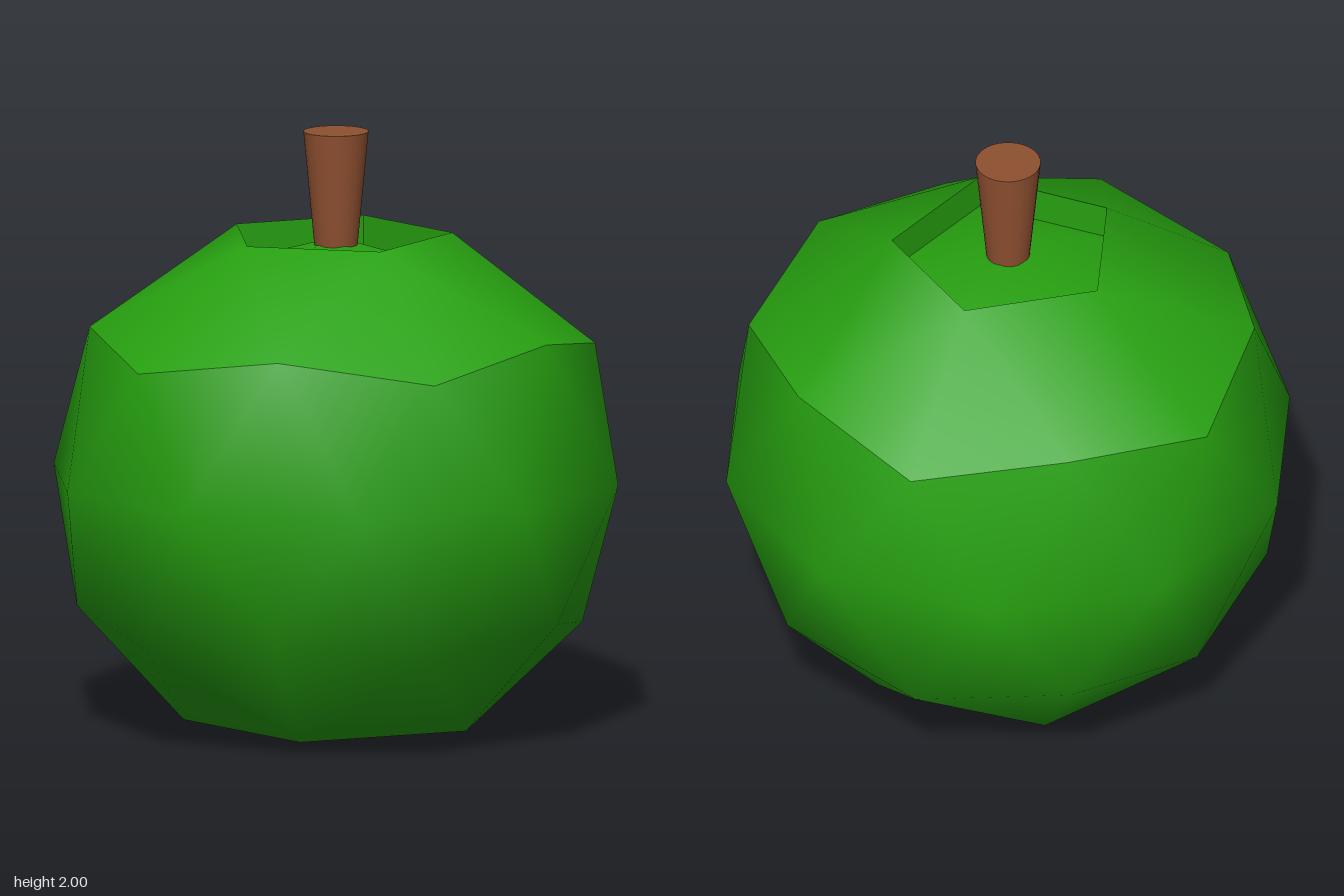
import * as THREE from 'three';

const skin = new THREE.MeshStandardMaterial({ color: 0x27a010 });
skin.name = 'green skin';
const bark = new THREE.MeshStandardMaterial({ color: 0x8f5030 });
bark.name = 'brown bark';

// Ring of points; radius and height alternate between the two given values
function ring(count, startDeg, [r0, y0], [r1, y1] = [r0, y0]) {
  return Array.from({ length: count }, (_, i) => {
    const a = THREE.MathUtils.degToRad(startDeg + (i * 360) / count);
    const r = i % 2 ? r1 : r0;
    return new THREE.Vector3(r * Math.cos(a), i % 2 ? y1 : y0, r * Math.sin(a));
  });
}

// Mesh from point triples; shared points give smooth normals
function surface(name, triangles, flat = false) {
  const points = [...new Set(triangles.flat())];
  let geometry = new THREE.BufferGeometry().setFromPoints(points);
  geometry.setIndex(triangles.flat().map((p) => points.indexOf(p)));
  if (flat) geometry = geometry.toNonIndexed();
  geometry.computeVertexNormals();
  const mesh = new THREE.Mesh(geometry, skin);
  mesh.name = name;
  return mesh;
}

export function createModel() {
  const model = new THREE.Group();
  model.name = 'apple';

  // Rings of a once-divided icosahedron, top to bottom
  const topRim = ring(5, 0, [0.385, 1.655]);
  const shoulder = ring(10, 0, [0.859, 1.279], [0.817, 1.355]);
  const middle = ring(10, 18, [0.96, 0.85]);
  const lower = ring(10, 0, [0.817, 0.345], [0.859, 0.421]);
  const baseRim = ring(5, 36, [0.505, 0.033]);
  // Sunken floors of the two hollows
  const topFloor = ring(5, 0, [0.385, 1.535]);
  const topPeak = new THREE.Vector3(0, 1.645, 0);
  const baseFloor = ring(5, 36, [0.505, 0.145]);
  const baseTip = new THREE.Vector3(0, 0, 0);

  const crown = [], body = [], topWall = [], topCap = [], baseWall = [], baseCap = [];

  for (let k = 0; k < 10; k++) {
    const n = (k + 1) % 10;
    body.push(
      [shoulder[k], shoulder[n], middle[k]],
      [middle[k], shoulder[n], middle[n]],
      [middle[k], middle[n], lower[n]],
      [lower[k], middle[k], lower[n]],
    );
  }

  for (let i = 0; i < 5; i++) {
    const n = (i + 1) % 5;
    const k = 2 * i, k1 = k + 1, k2 = (k + 2) % 10, prev = (k + 9) % 10;
    crown.push(
      [topRim[i], shoulder[k1], shoulder[k]],
      [topRim[i], shoulder[k], shoulder[prev]],
      [topRim[i], topRim[n], shoulder[k1]],
    );
    body.push(
      [lower[k], lower[k1], baseRim[i]],
      [lower[k1], lower[k2], baseRim[i]],
      [baseRim[i], lower[k2], baseRim[n]],
    );
    // Hollow walls face the axis
    topWall.push([topRim[i], topFloor[n], topRim[n]], [topRim[i], topFloor[i], topFloor[n]]);
    baseWall.push([baseFloor[i], baseRim[n], baseFloor[n]], [baseFloor[i], baseRim[i], baseRim[n]]);
    topCap.push([topPeak, topFloor[n], topFloor[i]]);
    baseCap.push([baseFloor[i], baseFloor[n], baseTip]);
  }

  model.add(
    surface('body', body),
    surface('crown', crown),
    surface('topHollowWall', topWall, true),
    surface('topHollowFloor', topCap),
    surface('baseHollowWall', baseWall, true),
    surface('baseHollowFloor', baseCap),
  );

  // Stem widens towards its cut end
  const stem = new THREE.Mesh(new THREE.CylinderGeometry(0.108, 0.072, 0.38, 32), bark);
  stem.name = 'stem';
  stem.position.y = 1.81;
  model.add(stem);

  return model;
}
